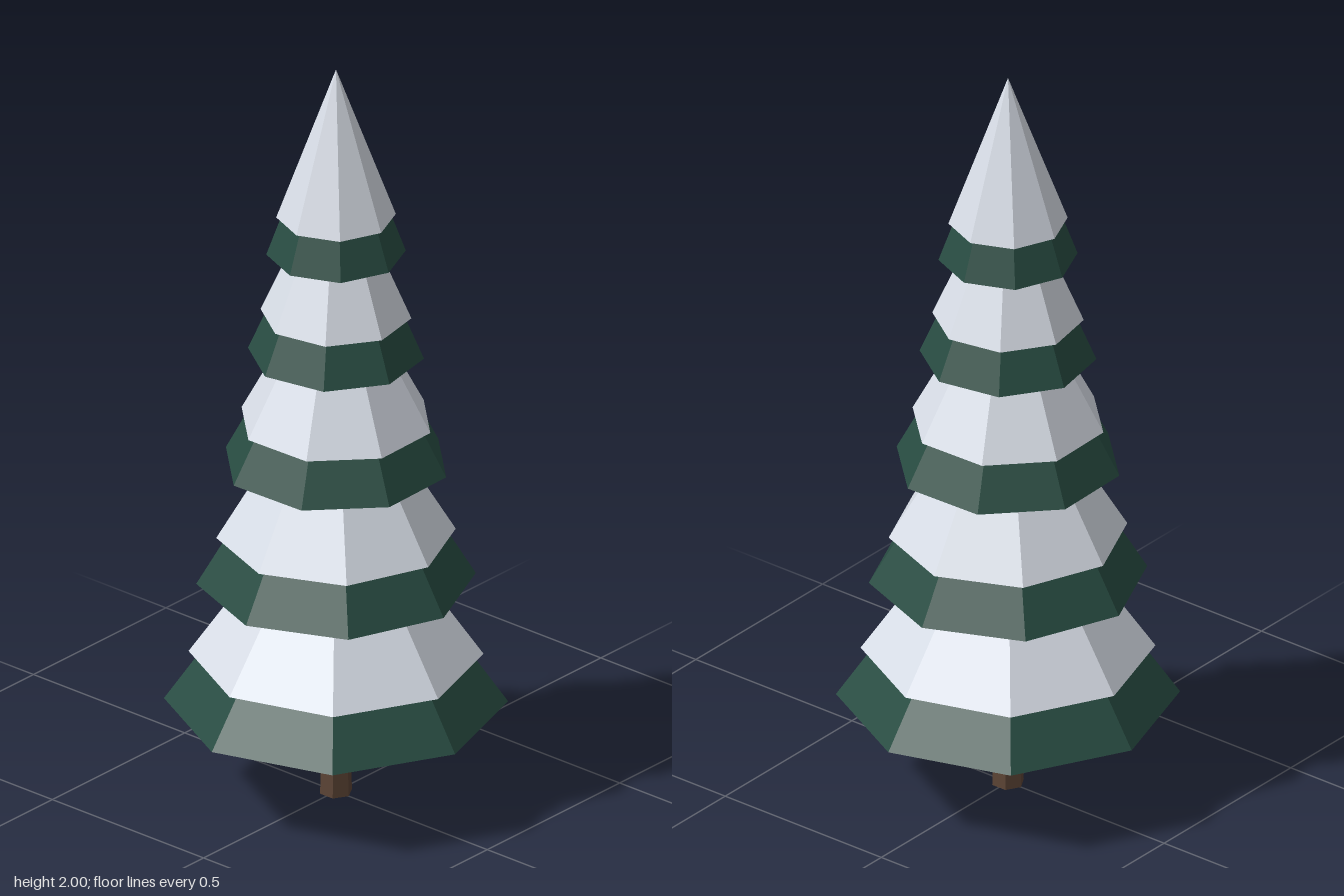
import * as THREE from 'three';

const material = (name, color) => {
  const m = new THREE.MeshStandardMaterial({ color, flatShading: true });
  m.name = name;
  return m;
};

// Each tier: base height, base radius, cone height, twist about the trunk
const TIERS = [
  { y: 0.254, radius: 0.428, height: 0.617, twist: -0.087 },
  { y: 0.59, radius: 0.349, height: 0.588, twist: 0.022 },
  { y: 0.912, radius: 0.287, height: 0.55, twist: 0.415 },
  { y: 1.214, radius: 0.221, height: 0.515, twist: -0.206 },
  { y: 1.493, radius: 0.174, height: 0.48, twist: 0 },
];

export function createModel() {
  const needles = material('needleGreen', 0x284c42);
  const snow = material('snowWhite', 0xe8eef8);
  const bark = material('barkBrown', 0x5c4435);

  const tree = new THREE.Group();
  tree.name = 'snowyPineTree';

  const addMesh = (parent, name, geometry, mat, y) => {
    const mesh = new THREE.Mesh(geometry, mat);
    mesh.name = name;
    mesh.position.y = y;
    parent.add(mesh);
  };

  // Tapered six-sided trunk, running up inside the lowest tier
  addMesh(tree, 'trunk', new THREE.CylinderGeometry(0.031, 0.042, 0.32, 6), bark, 0.16);

  // Eight-sided branch cones, each with a slightly overhanging snow cap
  TIERS.forEach(({ y, radius, height, twist }, i) => {
    const tier = new THREE.Group();
    tier.name = `tier${i + 1}`;
    tier.position.y = y;
    tier.rotation.y = twist;

    addMesh(tier, 'branches', new THREE.ConeGeometry(radius, height, 8), needles, height / 2);

    const capBase = height * 0.2125;
    const capHeight = height * 0.8438;
    const capGeometry = new THREE.ConeGeometry(radius * 0.857, capHeight, 8);
    addMesh(tier, 'snowCap', capGeometry, snow, capBase + capHeight / 2);

    tree.add(tier);
  });

  return tree;
}
